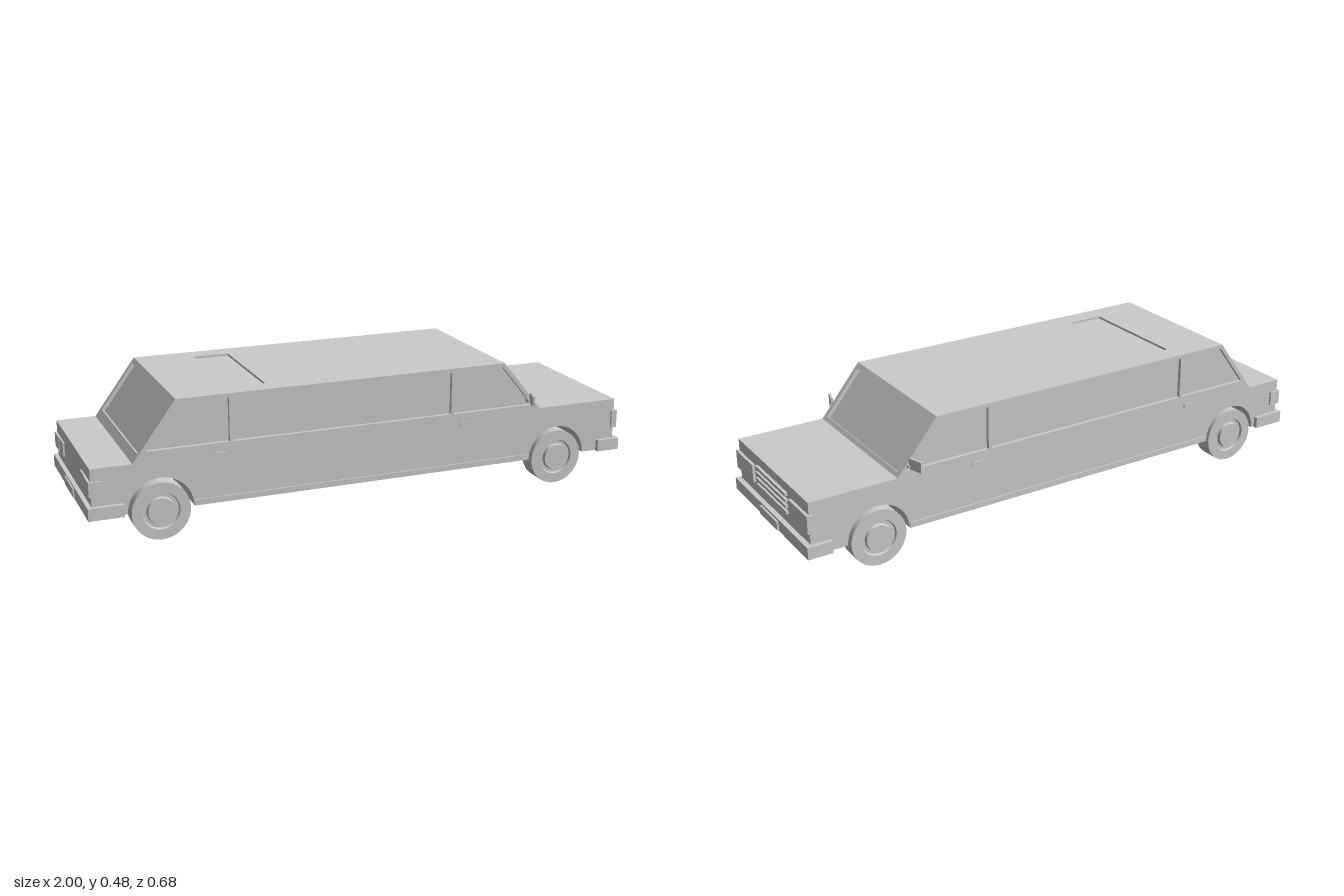
import * as THREE from 'three';
import { toCreasedNormals } from 'three/addons/utils/BufferGeometryUtils.js';

const material = new THREE.MeshStandardMaterial({ color: 0xcccccc });
const HALF = 0.283;    // half width of the body
const INSET = 0.013;   // depth of the window recesses
const AXLES = [-0.75, 0.735];

export function createModel() {
  const car = new THREE.Group();
  car.name = 'limousine';

  function add(name, geometry, parent = car) {
    const mesh = new THREE.Mesh(geometry, material);
    mesh.name = name;
    parent.add(mesh);
    return mesh;
  }

  // Box given by its limits on each axis
  function box(name, x0, x1, y0, y1, z0, z1) {
    const mesh = add(name, new THREE.BoxGeometry(x1 - x0, y1 - y0, z1 - z0));
    mesh.position.set((x0 + x1) / 2, (y0 + y1) / 2, (z0 + z1) / 2);
    return mesh;
  }

  // The same box on both sides of the car
  function boxPair(name, x0, x1, y0, y1, z0, z1) {
    box(name, x0, x1, y0, y1, z0, z1);
    box(name, x0, x1, y0, y1, -z1, -z0);
  }

  // Side outline: floor with wheel arches, then nose, cabin and tail
  function outline(cabin) {
    const shape = new THREE.Shape();
    shape.moveTo(-0.98, 0.105);
    for (const x of AXLES) {
      shape.lineTo(x - 0.112, 0.105);
      shape.absarc(x, 0.105, 0.112, Math.PI, 0, true);
    }
    shape.lineTo(0.975, 0.105);
    shape.lineTo(0.975, 0.295);
    for (const [x, y] of cabin) shape.lineTo(x, y);
    shape.lineTo(-0.98, 0.275);
    return shape;
  }

  function extrude(shape, depth) {
    const g = new THREE.ExtrudeGeometry(shape, { depth, bevelEnabled: false, curveSegments: 24 });
    return toCreasedNormals(g, 0.5);
  }

  function hole(points) {
    return new THREE.Path(points.map(([x, y]) => new THREE.Vector2(x, y)));
  }

  // Inner body, whose cabin faces are the recessed panes
  const core = outline([[0.643, 0.295], [0.5, 0.47], [-0.68, 0.47], [-0.824, 0.275]]);
  const inner = HALF - INSET;
  add('body', extrude(core, 2 * inner)).position.z = -inner;

  // Side skins with window openings
  const side = outline([[0.66, 0.295], [0.51, 0.478], [-0.69, 0.478], [-0.84, 0.275]]);
  side.holes.push(
    hole([[-0.795, 0.312], [-0.51, 0.312], [-0.51, 0.464], [-0.683, 0.464]]),
    hole([[-0.498, 0.312], [0.303, 0.312], [0.303, 0.464], [-0.498, 0.464]]),
    hole([[0.315, 0.312], [0.628, 0.312], [0.503, 0.464], [0.315, 0.464]]),
  );
  const skin = extrude(side, INSET);
  add('leftSide', skin).position.z = inner;
  add('rightSide', skin).position.z = -HALF;

  // Panel with a rectangular opening, running from one outline point to the next
  function framePanel(name, from, to, depth, s0, s1, halfHole) {
    const p = new THREE.Vector3(...from, 0);
    const d = new THREE.Vector3(...to, 0).sub(p);
    const length = d.length();
    d.normalize();
    const n = new THREE.Vector3(Math.abs(d.y) * Math.sign(d.x), Math.abs(d.x), 0);
    const w = new THREE.Vector3().crossVectors(d, n);
    const shape = new THREE.Shape([
      new THREE.Vector2(-inner, 0), new THREE.Vector2(inner, 0),
      new THREE.Vector2(inner, length), new THREE.Vector2(-inner, length),
    ]);
    shape.holes.push(hole([[-halfHole, s0], [halfHole, s0], [halfHole, s1], [-halfHole, s1]]));
    const g = extrude(shape, depth);
    g.applyMatrix4(new THREE.Matrix4().makeBasis(w, d, n).setPosition(p.addScaledVector(n, -depth)));
    add(name, g);
  }
  framePanel('windshieldFrame', [0.51, 0.478], [0.66, 0.295], INSET, 0.02, 0.22, 0.264);
  framePanel('rearWindowFrame', [-0.69, 0.478], [-0.84, 0.275], INSET, 0.02, 0.218, 0.264);
  framePanel('roofWithSunroof', [-0.69, 0.478], [0.51, 0.478], 0.008, 0.2, 0.33, 0.212);

  // Sills and door handles
  boxPair('sill', -0.635, 0.62, 0.105, 0.125, HALF - 0.01, 0.288);
  boxPair('rearDoorHandle', -0.565, -0.52, 0.264, 0.28, HALF - 0.01, 0.288);
  boxPair('frontDoorHandle', 0.335, 0.38, 0.264, 0.28, HALF - 0.01, 0.288);

  // Bumpers and number plates
  box('frontBumper', 0.905, 0.993, 0.103, 0.146, -0.298, 0.298);
  box('rearBumper', -0.995, -0.875, 0.103, 0.146, -0.298, 0.298);
  box('frontPlate', 0.98, 1, 0.108, 0.139, -0.071, 0.071);
  box('rearPlate', -1, -0.985, 0.108, 0.139, -0.071, 0.071);

  // Lamps wrapping round the corners
  boxPair('headlight', 0.963, 0.985, 0.187, 0.252, 0.148, 0.29);
  boxPair('tailLight', -0.988, -0.945, 0.18, 0.232, 0.215, 0.29);
  boxPair('reverseLight', -0.986, -0.97, 0.18, 0.232, 0.15, 0.215);

  // Grille slats
  for (let i = 0; i < 4; i++) {
    const y = 0.184 + i * 0.022;
    box('grilleSlat', 0.97, 0.985, y, y + 0.012, -0.121, 0.121);
  }

  // Wheels: tyre, recessed rim and raised hubcap in one profile
  const profile = [
    [0, -0.068], [0.1, -0.068], [0.1, 0], [0.064, 0], [0.061, -0.008],
    [0.049, -0.008], [0.046, 0.004], [0, 0.004],
  ].map(([r, y]) => new THREE.Vector2(r, y));
  const wheelGeometry = toCreasedNormals(new THREE.LatheGeometry(profile, 40), 0.5);
  for (const s of [1, -1]) {
    for (const x of AXLES) {
      const wheel = add(x > 0 ? 'frontWheel' : 'rearWheel', wheelGeometry);
      wheel.rotation.x = s * Math.PI / 2;
      wheel.position.set(x, 0.1, s * HALF);
    }

    // Door mirror, swept back, on a short foot
    box('mirrorFoot', 0.605, 0.625, 0.324, 0.336, s > 0 ? 0.275 : -0.295, s > 0 ? 0.295 : -0.275);
    const mirror = add('doorMirror', new THREE.BoxGeometry(0.008, 0.038, 0.055));
    mirror.position.set(0.609, 0.341, s * 0.315);
    mirror.rotation.y = -s * 0.3;
  }
  return car;
}
